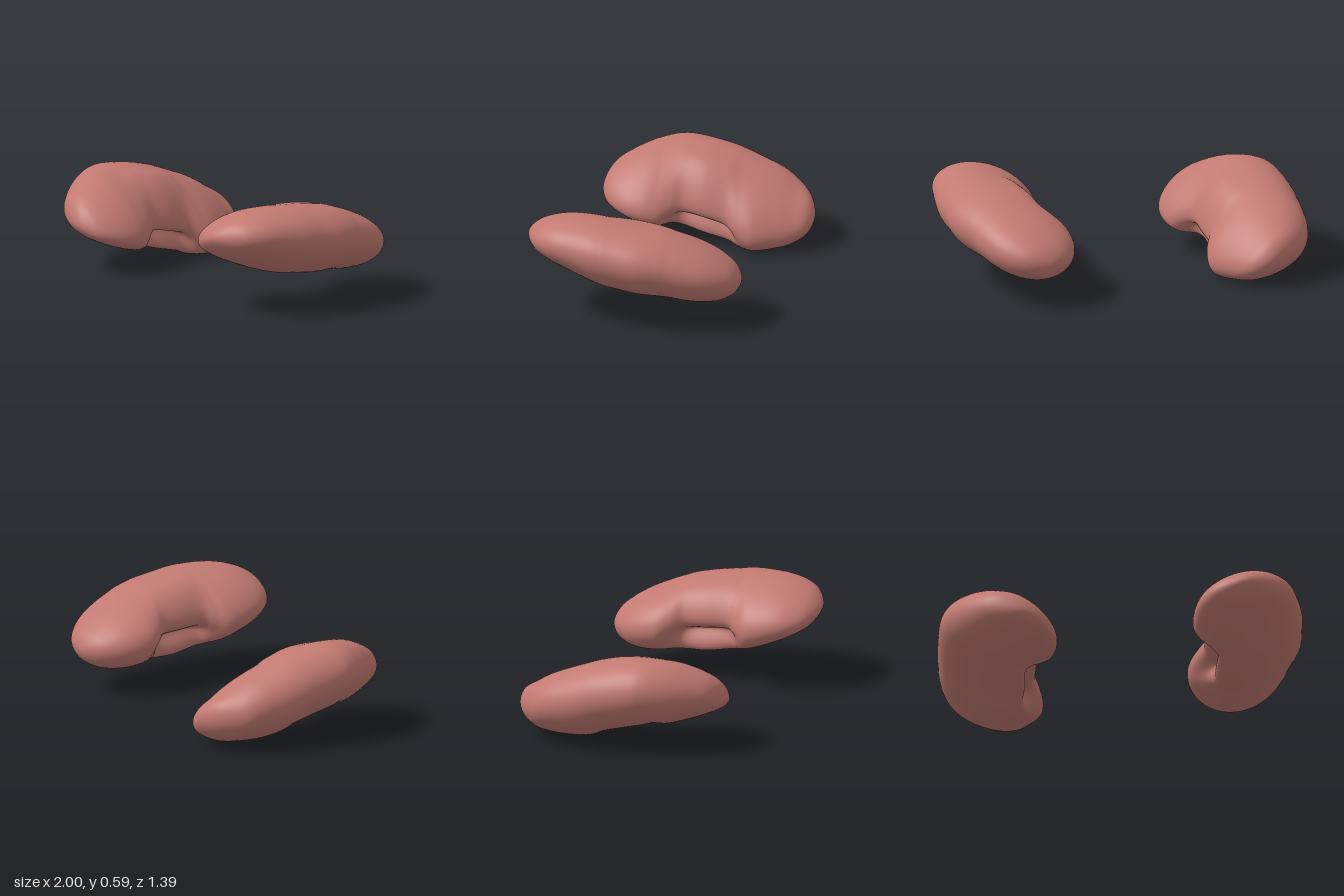
import * as THREE from 'three';
import { mergeVertices } from 'three/addons/utils/BufferGeometryUtils.js';

// Stations along each organ: [z, inner x, outer x, top y, bottom y, hilum hollow]
// x is measured outward from the middle plane.
const LEFT = [
  [-0.50, 0.67, 0.67, 0.26, 0.26, 0],
  [-0.47, 0.56, 0.79, 0.335, 0.195, 0],
  [-0.40, 0.48, 0.87, 0.395, 0.153, 0],
  [-0.31, 0.43, 0.925, 0.447, 0.137, 0],
  [-0.21, 0.41, 0.955, 0.49, 0.14, 0],
  [-0.13, 0.43, 0.97, 0.518, 0.152, 0.12],
  [-0.06, 0.465, 0.985, 0.54, 0.156, 0.38],
  [0.05, 0.455, 1.0, 0.56, 0.16, 0.45],
  [0.18, 0.445, 0.985, 0.578, 0.18, 0.35],
  [0.24, 0.405, 0.978, 0.585, 0.19, 0.12],
  [0.31, 0.36, 0.965, 0.59, 0.21, 0],
  [0.44, 0.355, 0.92, 0.588, 0.26, 0],
  [0.55, 0.385, 0.87, 0.567, 0.31, 0],
  [0.64, 0.46, 0.78, 0.525, 0.367, 0],
  [0.69, 0.61, 0.61, 0.45, 0.45, 0],
];
const RIGHT = [
  [-0.70, 0.60, 0.60, 0.175, 0.175, 0],
  [-0.665, 0.50, 0.735, 0.265, 0.09, 0],
  [-0.58, 0.44, 0.855, 0.33, 0.035, 0],
  [-0.49, 0.40, 0.91, 0.385, 0.013, 0],
  [-0.38, 0.365, 0.945, 0.43, 0.002, 0],
  [-0.29, 0.385, 0.963, 0.465, 0.01, 0.1],
  [-0.22, 0.425, 0.975, 0.488, 0.035, 0.35],
  [-0.10, 0.435, 0.99, 0.515, 0.065, 0.45],
  [0.01, 0.45, 0.997, 0.528, 0.095, 0.36],
  [0.08, 0.42, 0.985, 0.527, 0.115, 0.12],
  [0.15, 0.39, 0.96, 0.517, 0.113, 0],
  [0.23, 0.38, 0.92, 0.497, 0.13, 0],
  [0.32, 0.40, 0.86, 0.46, 0.16, 0],
  [0.40, 0.45, 0.79, 0.415, 0.195, 0],
  [0.45, 0.51, 0.70, 0.36, 0.23, 0],
  [0.475, 0.60, 0.60, 0.285, 0.285, 0],
];

// Swapping opposite sides past a tip makes the end close round
const flip = ([z, i, o, t, b, h]) => [z, o, i, b, t, h];

function station(list, s) {
  const k = Math.min(Math.floor(s), list.length - 2);
  const f = s - k;
  const at = (n) => n < 0 ? flip(list[1])
    : n >= list.length ? flip(list[list.length - 2]) : list[n];
  const [a, b, c, d] = [at(k - 1), at(k), at(k + 1), at(k + 2)];
  return b.map((p, i) => {
    const m0 = (c[i] - a[i]) / 2, m1 = (d[i] - p) / 2, e = c[i] - p;
    return p + f * (m0 + f * (3 * e - 2 * m0 - m1 + f * (m0 + m1 - 2 * e)));
  });
}

// Bean body lofted through leaning oval sections, hollowed at the hilum.
// The inner edge's lean changes from the back end to the front end.
function bean(name, list, side, backLean, frontLean, outerLean, material) {
  const sides = 64, perSpan = 8;
  const rows = (list.length - 1) * perSpan;
  const position = [], index = [];
  for (let j = 0; j <= rows; j++) {
    const [z, inner, outer, top, bottom, depth] = station(list, j / perSpan);
    const hollow = Math.max(depth, 0);
    const innerLean = THREE.MathUtils.lerp(backLean, frontLean, j / rows);
    // The notch cuts the inner half only, so the back of the bean stays even
    const cx = (inner + outer - 0.22 * hollow) / 2;
    const cy = (top + bottom) / 2, b = (top - bottom) / 2;
    for (let i = 0; i < sides; i++) {
      const t = (i / sides) * Math.PI * 2, c = Math.cos(t);
      const off = (t - Math.PI - 0.4) / 0.38;
      const r = 1 - hollow * Math.exp(-off * off);
      // Squarer inner half along the notch keeps its upper lip full
      const x = c > 0 ? (outer - cx) * c
        : -(cx - inner) * r * Math.pow(-c, 1 - 0.8 * hollow);
      const lean = (innerLean + outerLean + (outerLean - innerLean) * c) / 2;
      position.push(side * (cx + x), cy + b * r * Math.sin(t + lean), z);
      if (j === rows) continue;
      const p = j * sides + i, q = j * sides + (i + 1) % sides;
      if (side > 0) index.push(p, q, p + sides, q, q + sides, p + sides);
      else index.push(p, p + sides, q, q, p + sides, q + sides);
    }
  }
  let geometry = new THREE.BufferGeometry();
  geometry.setAttribute('position', new THREE.Float32BufferAttribute(position, 3));
  geometry.setIndex(index);
  geometry = mergeVertices(geometry, 1e-5);
  geometry.computeVertexNormals();
  const mesh = new THREE.Mesh(geometry, material);
  mesh.name = name;
  return mesh;
}

export function createModel() {
  const group = new THREE.Group();
  group.name = 'kidneys';
  const flesh = new THREE.MeshStandardMaterial({ color: 0xc27a72 });
  group.add(bean('leftKidney', LEFT, 1, -0.05, 0.5, 0.17, flesh));
  group.add(bean('rightKidney', RIGHT, -1, 0.53, 0.7, 0.25, flesh));
  return group;
}
